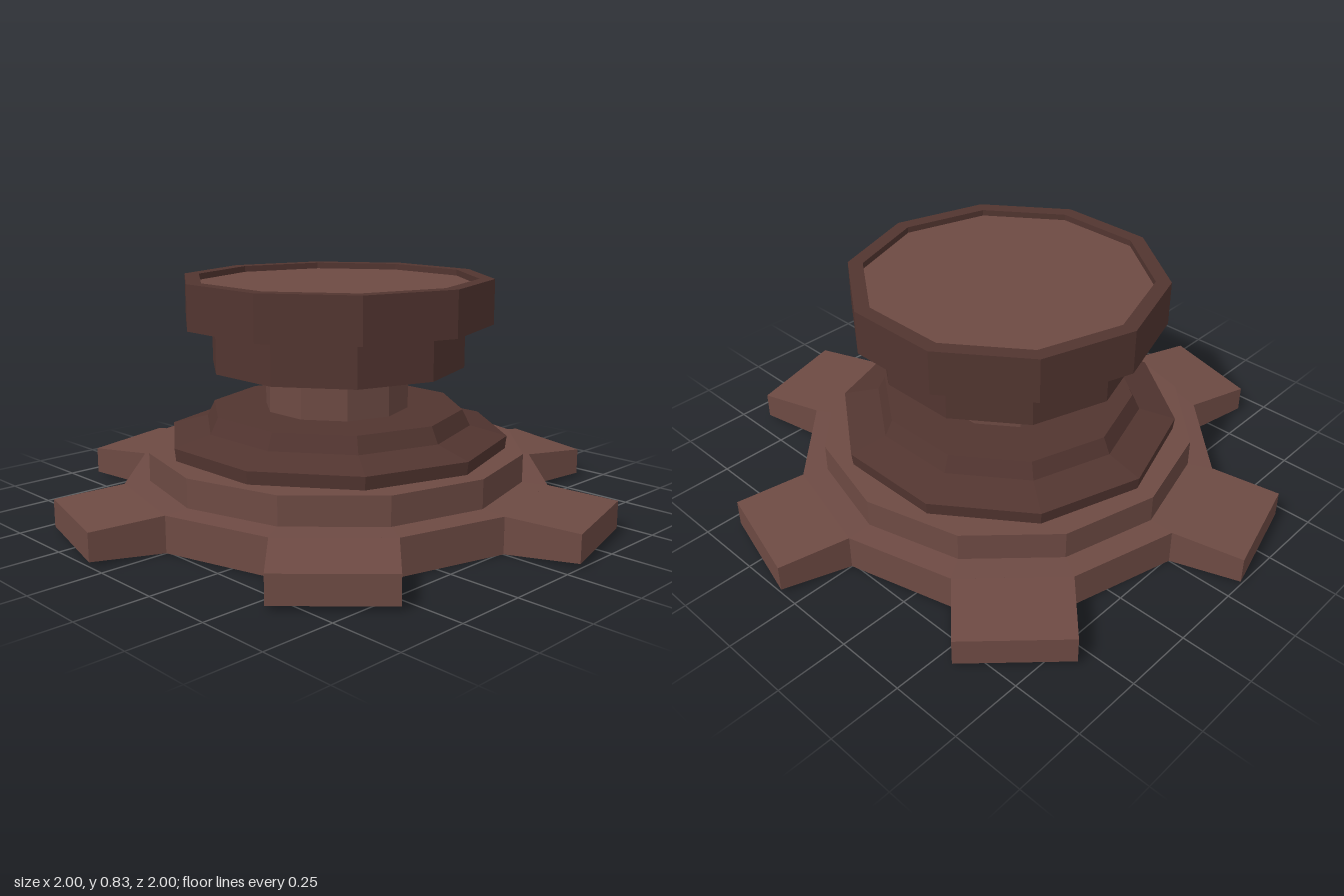
import * as THREE from 'three';

const light = new THREE.MeshStandardMaterial({ color: 0x6d4a43, flatShading: true });
const dark = new THREE.MeshStandardMaterial({ color: 0x523530, flatShading: true });

// Faceted turned part from a bottom-to-top profile of [radius, y] pairs
function turned(name, profile, sides, material) {
  const points = profile.map(([r, y]) => new THREE.Vector2(r, y));
  const mesh = new THREE.Mesh(new THREE.LatheGeometry(points, sides), material);
  mesh.name = name;
  return mesh;
}

// Gear tooth whose outer end is slightly smaller than its root
function toothGeometry() {
  const inner = 0.734, outer = 0.984, height = 0.126;
  const geometry = new THREE.BoxGeometry(0.393, height, outer - inner);
  geometry.translate(0, 0, (inner + outer) / 2);
  const p = geometry.attributes.position;
  for (let i = 0; i < p.count; i++) {
    const tip = p.getZ(i) > 0.9;
    p.setX(i, p.getX(i) * (tip ? 0.975 : 1));
    p.setY(i, p.getY(i) * (tip ? 0.76 : 1) + height / 2);
  }
  geometry.computeVertexNormals();
  return geometry;
}

export function createModel() {
  const model = new THREE.Group();
  model.name = 'gearKnob';

  // Twelve-sided gear plate with raised collar
  model.add(turned('gearPlate', [
    [0, 0], [0.76, 0], [0.76, 0.126], [0.672, 0.13], [0.672, 0.23], [0, 0.23],
  ], 12, light));

  // Six teeth on alternate sides of the plate
  const teeth = new THREE.Group();
  teeth.name = 'gearTeeth';
  const geometry = toothGeometry();
  for (let i = 0; i < 6; i++) {
    const tooth = new THREE.Mesh(geometry, light);
    tooth.name = 'tooth';
    tooth.rotation.y = Math.PI / 12 + i * Math.PI / 3;
    teeth.add(tooth);
  }
  model.add(teeth);

  // Ten-sided stepped base, stem and knob
  model.add(turned('steppedBase', [
    [0.605, 0.23], [0.61, 0.275], [0.48, 0.308], [0.452, 0.365], [0, 0.365],
  ], 10, dark));
  model.add(turned('stem', [[0.258, 0.365], [0.258, 0.516]], 10, light));
  model.add(turned('lowerKnob', [
    [0, 0.516], [0.455, 0.516], [0.455, 0.67],
  ], 10, dark));
  model.add(turned('upperKnob', [
    [0, 0.67], [0.553, 0.67], [0.553, 0.828], [0.5, 0.828], [0.5, 0.806],
  ], 10, dark));

  // Recessed face inside the rim
  model.add(turned('knobFace', [[0.5, 0.806], [0, 0.806]], 10, light));

  return model;
}
